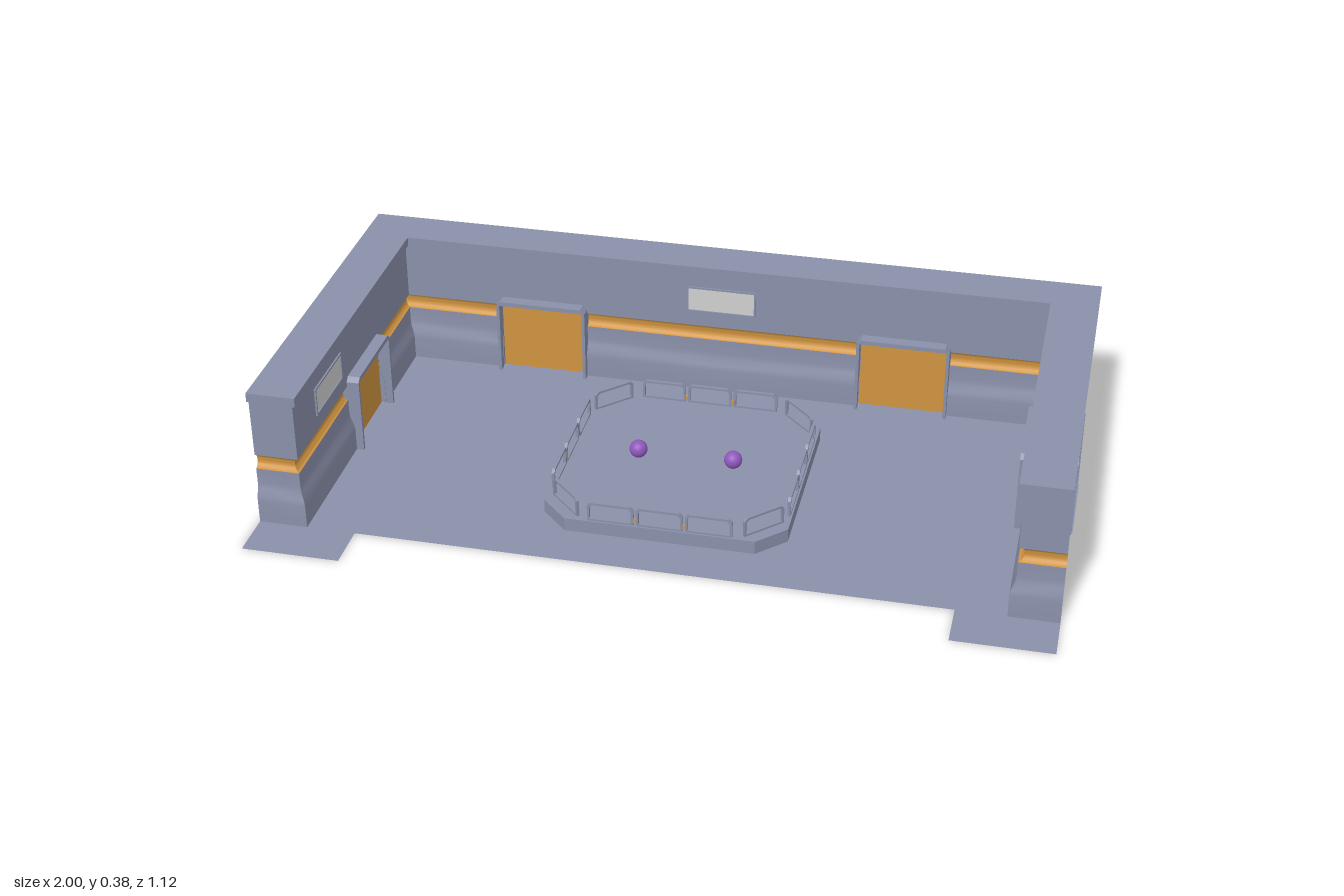
import * as THREE from 'three';
import { toCreasedNormals } from 'three/addons/utils/BufferGeometryUtils.js';

const mat = (name, color) => {
  const m = new THREE.MeshStandardMaterial({ color, side: THREE.DoubleSide });
  m.name = name;
  return m;
};

export function createModel() {
  const model = new THREE.Group();
  model.name = 'arenaRoom';
  const grey = mat('slateGrey', 0x8a90aa);
  const orange = mat('orange', 0xd09440);
  const pale = mat('paleGrey', 0xd0d0d0);
  const purple = mat('purple', 0x8f58bd);

  const add = (parent, name, geo, material, x = 0, y = 0, z = 0) => {
    const mesh = new THREE.Mesh(geo, material);
    mesh.name = name;
    mesh.position.set(x, y, z);
    parent.add(mesh);
    return mesh;
  };
  const shapeOf = pts => new THREE.Shape(pts.map(p => new THREE.Vector2(p[0], p[1])));
  // Flat sheet from a list of (x, z) points, facing up
  const sheet = (name, pts, y) => {
    const geo = new THREE.ShapeGeometry(shapeOf(pts.map(([x, z]) => [x, -z])));
    geo.rotateX(-Math.PI / 2);
    add(model, name, geo, grey, 0, y, 0);
  };
  // Half outline completed by mirroring across x = 0
  const mirrored = pts => [...pts, ...pts.slice().reverse().map(([x, z]) => [-x, z])];

  const X = 0.875, Z = 0.4375, DEEP = 0.56;
  const doorZ = -0.0625, doorX = 0.5, dw = 0.115;

  // Floor with front tabs and door alcoves; ledge running outward from the wall tops
  sheet('floor', mirrored([
    [0.75, Z], [0.75, DEEP], [1, DEEP], [1, Z], [X, Z],
    [X, doorZ + dw], [1, doorZ + dw], [1, doorZ - dw], [X, doorZ - dw], [X, -Z],
    [doorX + dw, -Z], [doorX + dw, -DEEP], [doorX - dw, -DEEP], [doorX - dw, -Z]]), 0);
  sheet('topLedge', mirrored([[X, -Z], [X, Z], [1, Z], [1, -DEEP]]), 0.375);

  // Wall profiles as (height, recess)
  const lower = [[0, 0], [0.06, 0], [0.075, 0.002], [0.095, 0.0105], [0.11, 0.0125], [0.15, 0.0125]];
  const upper = [[0.19, 0.0125], [0.351, 0.0125], [0.351, 0], [0.375, 0]];
  const groove = [];
  for (let i = 0; i <= 10; i++) {
    const a = Math.PI * i / 10;
    groove.push([0.17 - 0.02 * Math.cos(a), 0.0125 + 0.0135 * Math.sin(a)]);
  }
  const aboveDoor = [[0.2, 0.0125], ...upper.slice(1)];

  // Sweep a profile between two plan stations (x, z, recess direction x, z)
  const strip = (profile, a, b) => {
    const pos = [], idx = [];
    for (const [y, d] of profile)
      for (const s of [a, b]) pos.push(s[0] + s[2] * d, y, s[1] + s[3] * d);
    for (let i = 0; i < profile.length - 1; i++) {
      const k = i * 2;
      idx.push(k, k + 2, k + 1, k + 1, k + 2, k + 3);
    }
    const geo = new THREE.BufferGeometry();
    geo.setAttribute('position', new THREE.Float32BufferAttribute(pos, 3));
    geo.setIndex(idx);
    geo.computeVertexNormals();
    return toCreasedNormals(geo, 0.7);
  };

  const stations = [
    [1, Z, 0, -1], [X, Z, 1, -1],
    [X, doorZ + dw, 1, 0], [X, doorZ - dw, 1, 0],
    [X, -Z, 1, -1],
    [doorX + dw, -Z, 0, -1], [doorX - dw, -Z, 0, -1],
    [0, -Z, 0, -1]];

  // Door: tunnel frame with cut corners and a recessed panel
  const arch = [[-0.125, 0], [-0.125, 0.203], [-0.113, 0.215], [0.113, 0.215], [0.125, 0.203], [0.125, 0],
    [0.1165, 0], [0.1165, 0.203], [-0.1165, 0.203], [-0.1165, 0]];
  const makeDoor = name => {
    const g = new THREE.Group();
    g.name = name;
    const frame = new THREE.ExtrudeGeometry(shapeOf(arch), { depth: 0.1425, bevelEnabled: false });
    add(g, 'doorFrame', frame, grey, 0, 0, -0.1225);
    add(g, 'doorPanel', new THREE.BoxGeometry(0.233, 0.203, 0.008), orange, 0, 0.1015, -0.018);
    return g;
  };

  // Window: thin frame set through the wall with a pale pane
  const makeWindow = name => {
    const g = new THREE.Group();
    g.name = name;
    const rect = (w, h) => [[-w, -h], [w, -h], [w, h], [-w, h]];
    const s = shapeOf(rect(0.095, 0.038));
    s.holes.push(shapeOf(rect(0.09, 0.033)));
    add(g, 'windowFrame', new THREE.ExtrudeGeometry(s, { depth: 0.016, bevelEnabled: false }), grey, 0, 0, -0.024);
    add(g, 'windowPane', new THREE.BoxGeometry(0.18, 0.066, 0.0095), pale, 0, 0, -0.0165);
    return g;
  };

  // Each half of the room: walls, grooves, doors and side window
  for (const side of [1, -1]) {
    const half = new THREE.Group();
    half.name = side > 0 ? 'leftHalf' : 'rightHalf';
    half.scale.x = side;
    for (let i = 0; i < stations.length - 1; i++) {
      const a = stations[i], b = stations[i + 1];
      if (i === 2 || i === 5) {
        add(half, 'wallAboveDoor', strip(aboveDoor, a, b), grey);
        continue;
      }
      add(half, 'lowerWall', strip(lower, a, b), grey);
      add(half, 'grooveStripe', strip(groove, a, b), orange);
      add(half, 'upperWall', strip(upper, a, b), grey);
    }
    const sideDoor = makeDoor('sideDoor');
    sideDoor.position.set(X, 0, doorZ);
    sideDoor.rotation.y = -Math.PI / 2;
    const backDoor = makeDoor('backDoor');
    backDoor.position.set(doorX, 0, -Z);
    const sideWindow = makeWindow('sideWindow');
    sideWindow.position.set(X, 0.271, 0.1875);
    sideWindow.rotation.y = -Math.PI / 2;
    half.add(sideDoor, backDoor, sideWindow);
    model.add(half);
  }
  const backWindow = makeWindow('backWindow');
  backWindow.position.set(0, 0.271, -Z);
  model.add(backWindow);

  // Eight-sided platform
  const R = 0.3125, C = 0.242, H = 0.036;
  const oct = shapeOf([[R, -C], [R, C], [C, R], [-C, R], [-R, C], [-R, -C], [-C, -R], [C, -R]]);
  const slab = new THREE.ExtrudeGeometry(oct, { depth: H, bevelEnabled: false });
  slab.rotateX(-Math.PI / 2);
  add(model, 'platform', slab, grey);

  // Open railing panels with cut upper corners
  const railGeo = () => {
    const outline = (w, b, t, c) => [[-w, b], [w, b], [w, t - c], [w - c, t], [-w + c, t], [-w, t - c]];
    const s = shapeOf(outline(0.059, 0, 0.052, 0.009));
    s.holes.push(shapeOf(outline(0.053, 0.005, 0.046, 0.007)));
    const geo = new THREE.ExtrudeGeometry(s, { depth: 0.008, bevelEnabled: false });
    return geo.translate(0, 0, -0.004);
  };
  const rail = railGeo();
  for (let q = 0; q < 4; q++) {
    const g = new THREE.Group();
    g.name = 'railingSide';
    g.rotation.y = q * Math.PI / 2;
    for (const x of [-0.125, 0, 0.125]) add(g, 'railing', rail, grey, x, H, 0.304);
    add(g, 'cornerRailing', rail, grey, 0.2525, H, 0.2525).rotation.y = Math.PI / 4;
    for (const x of [-0.0625, 0.0625])
      add(g, 'railingLink', new THREE.BoxGeometry(0.008, 0.012, 0.006), orange, x, H + 0.012, 0.304);
    model.add(g);
  }

  // Two balls over the platform
  for (const x of [-0.125, 0.125])
    add(model, 'ball', new THREE.SphereGeometry(0.0235, 24, 16), purple, x, 0.064, 0);

  return model;
}
